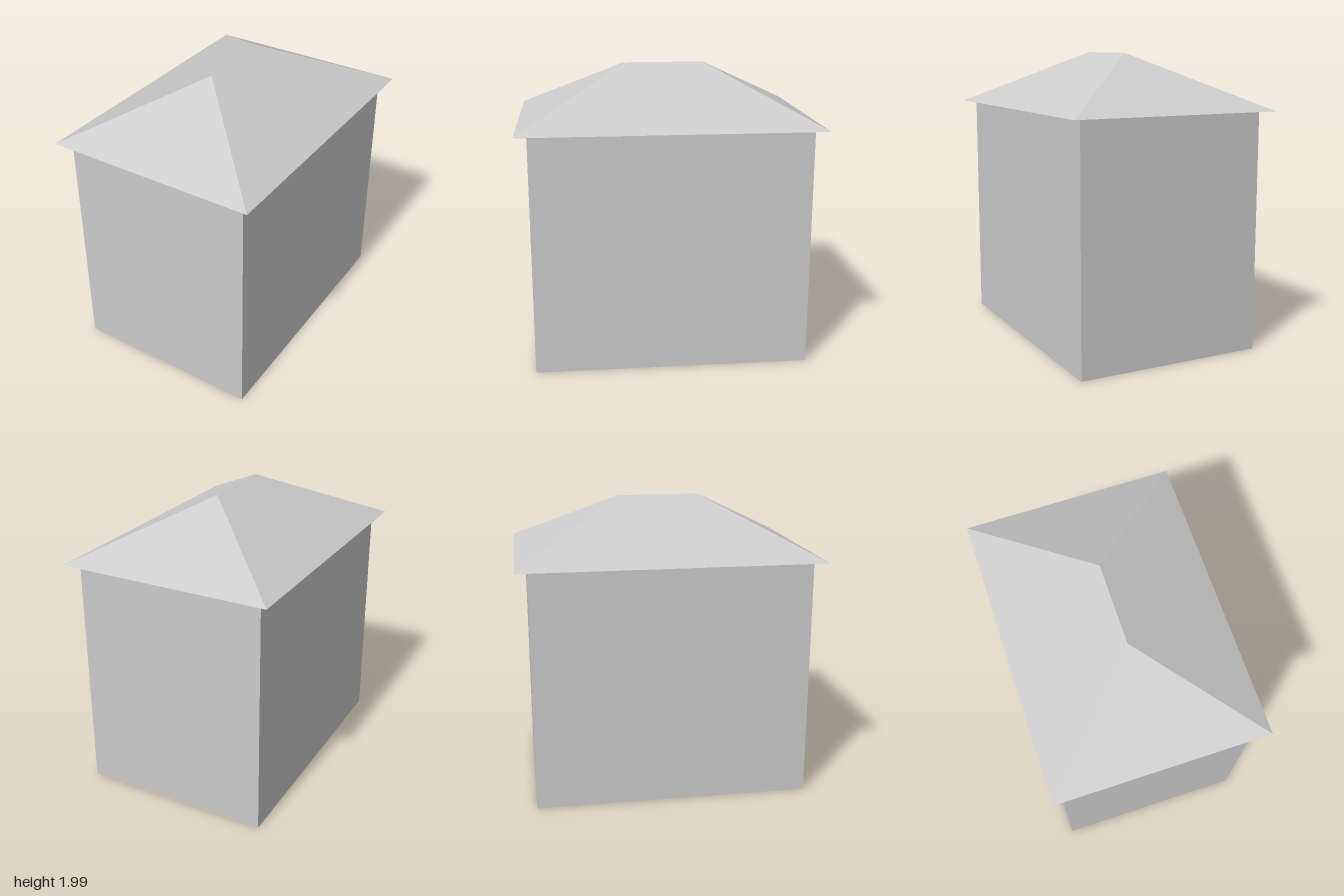
import * as THREE from 'three';

const material = new THREE.MeshStandardMaterial({
  color: 0xcccccc, flatShading: true, side: THREE.DoubleSide,
});

const W = 0.645, D = 0.92;                // wall half width and half depth
const EAVE_X = 0.72, EAVE_Z = 1;          // roof overhang
const EAVE_Y = 1.615, RIDGE_Y = 1.985, RIDGE_Z = 0.275;
const WALL_TOP = EAVE_Y + (EAVE_X - W) * (RIDGE_Y - EAVE_Y) / EAVE_X;

// Flat-faced surface from convex polygons, corners counter-clockwise from outside
function polygons(name, faces) {
  const points = [];
  for (const f of faces) {
    for (let i = 1; i < f.length - 1; i++) points.push(...f[0], ...f[i], ...f[i + 1]);
  }
  const geometry = new THREE.BufferGeometry();
  geometry.setAttribute('position', new THREE.Float32BufferAttribute(points, 3));
  geometry.computeVertexNormals();
  const mesh = new THREE.Mesh(geometry, material);
  mesh.name = name;
  return mesh;
}

// Four thin walls, open below and under the roof
function createWalls() {
  const corners = [[-W, D], [W, D], [W, -D], [-W, -D]];
  return polygons('walls', corners.map(([x, z], i) => {
    const [x2, z2] = corners[(i + 1) % 4];
    return [[x, 0, z], [x2, 0, z2], [x2, WALL_TOP, z2], [x, WALL_TOP, z]];
  }));
}

// Hipped roof shell: each side s has one hip end and one long slope
function createRoof() {
  return polygons('hippedRoof', [1, -1].flatMap((s) => {
    const left = [-s * EAVE_X, EAVE_Y, s * EAVE_Z];
    const right = [s * EAVE_X, EAVE_Y, s * EAVE_Z];
    const back = [s * EAVE_X, EAVE_Y, -s * EAVE_Z];
    const peak = [0, RIDGE_Y, s * RIDGE_Z], farPeak = [0, RIDGE_Y, -s * RIDGE_Z];
    return [[left, right, peak], [right, back, farPeak, peak]];
  }));
}

// Shallow panels on the inside of the front wall
function createPanel(side) {
  const depth = 0.07, height = 0.5;
  const panel = new THREE.Mesh(new THREE.BoxGeometry(0.215, height, depth), material);
  panel.name = side > 0 ? 'innerPanelLeft' : 'innerPanelRight';
  panel.position.set(side * 0.31, 0.46 + height / 2, D - depth / 2 - 0.003);
  return panel;
}

export function createModel() {
  const house = new THREE.Group();
  house.name = 'house';
  house.add(createWalls(), createRoof(), createPanel(1), createPanel(-1));
  return house;
}
